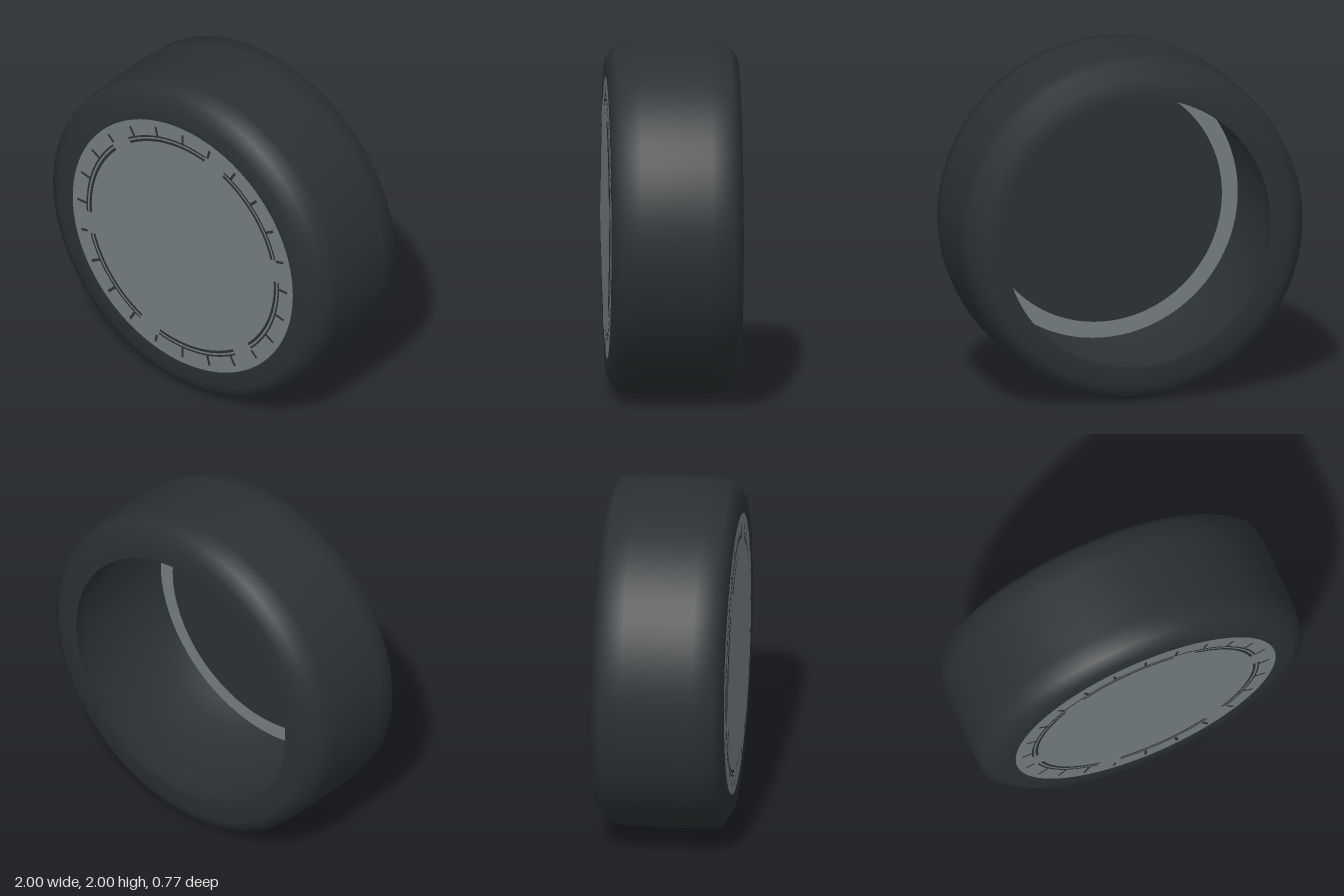
import * as THREE from 'three';

const rubber = new THREE.MeshStandardMaterial({ color: 0x2b3033, side: THREE.DoubleSide });
const metal = new THREE.MeshStandardMaterial({ color: 0x737c80, side: THREE.DoubleSide });
const SEG = 96;
const FRONT = 0.36, BACK = -0.387;

export function createModel() {
  const model = new THREE.Group();
  model.name = 'wheel';
  const wheel = new THREE.Group();
  wheel.name = 'wheelAssembly';
  wheel.position.y = 1;
  model.add(wheel);

  const add = (name, geometry, material, z = 0, parent = wheel) => {
    const mesh = new THREE.Mesh(geometry, material);
    mesh.name = name;
    mesh.position.z = z;
    parent.add(mesh);
    return mesh;
  };
  // revolve [radius, z] points around the axle
  const revolve = (points) =>
    new THREE.LatheGeometry(points.map(([r, z]) => new THREE.Vector2(r, z)), SEG).rotateX(Math.PI / 2);

  // tyre: smooth outer shell and hollow inside, sharp at the two openings
  add('tyreOuter', revolve([
    [0.785, BACK], [0.905, BACK], [0.985, -0.335], [1, -0.21],
    [1, 0.19], [0.985, 0.308], [0.905, FRONT], [0.8, FRONT],
  ]), rubber);
  add('tyreInner', revolve([
    [0.8, FRONT], [0.84, 0.22], [0.85, 0], [0.84, -0.24], [0.785, BACK],
  ]), rubber);

  // hub face: grey rim ring around a dark back plate
  add('rimRing', new THREE.RingGeometry(0.7, 0.8, SEG), metal, FRONT);
  add('backPlate', new THREE.CircleGeometry(0.705, SEG), rubber, 0.354);
  add('accentRing', new THREE.RingGeometry(0.678, 0.689, SEG), metal, FRONT);
  add('innerRing', new THREE.RingGeometry(0.6, 0.662, SEG), metal, FRONT);

  // dark tick marks around the rim ring
  const ticks = new THREE.Group();
  ticks.name = 'rimTicks';
  wheel.add(ticks);
  for (let i = 0; i < 24; i++) {
    const tick = new THREE.PlaneGeometry(0.016, 0.065).translate(0, 0.729, 0).rotateZ((i * Math.PI) / 12);
    add('rimTick', tick, rubber, 0.363, ticks);
  }

  // cover plate: disc with six tabs reaching the rim ring
  const cover = new THREE.Shape();
  const rad = THREE.MathUtils.degToRad;
  for (let i = 0; i < 6; i++) {
    const tab = 70 - i * 60; // tab centre, counted clockwise
    cover.absarc(0, 0, 0.708, rad(tab + 6), rad(tab - 6), true);
    cover.absarc(0, 0, 0.637, rad(tab - 6), rad(tab - 54), true);
  }
  cover.closePath();
  add('coverPlate', new THREE.ShapeGeometry(cover, 16), metal, 0.368);

  // centre disc
  add('centreDisc', new THREE.CircleGeometry(0.197, 48), metal, 0.387);

  return model;
}
